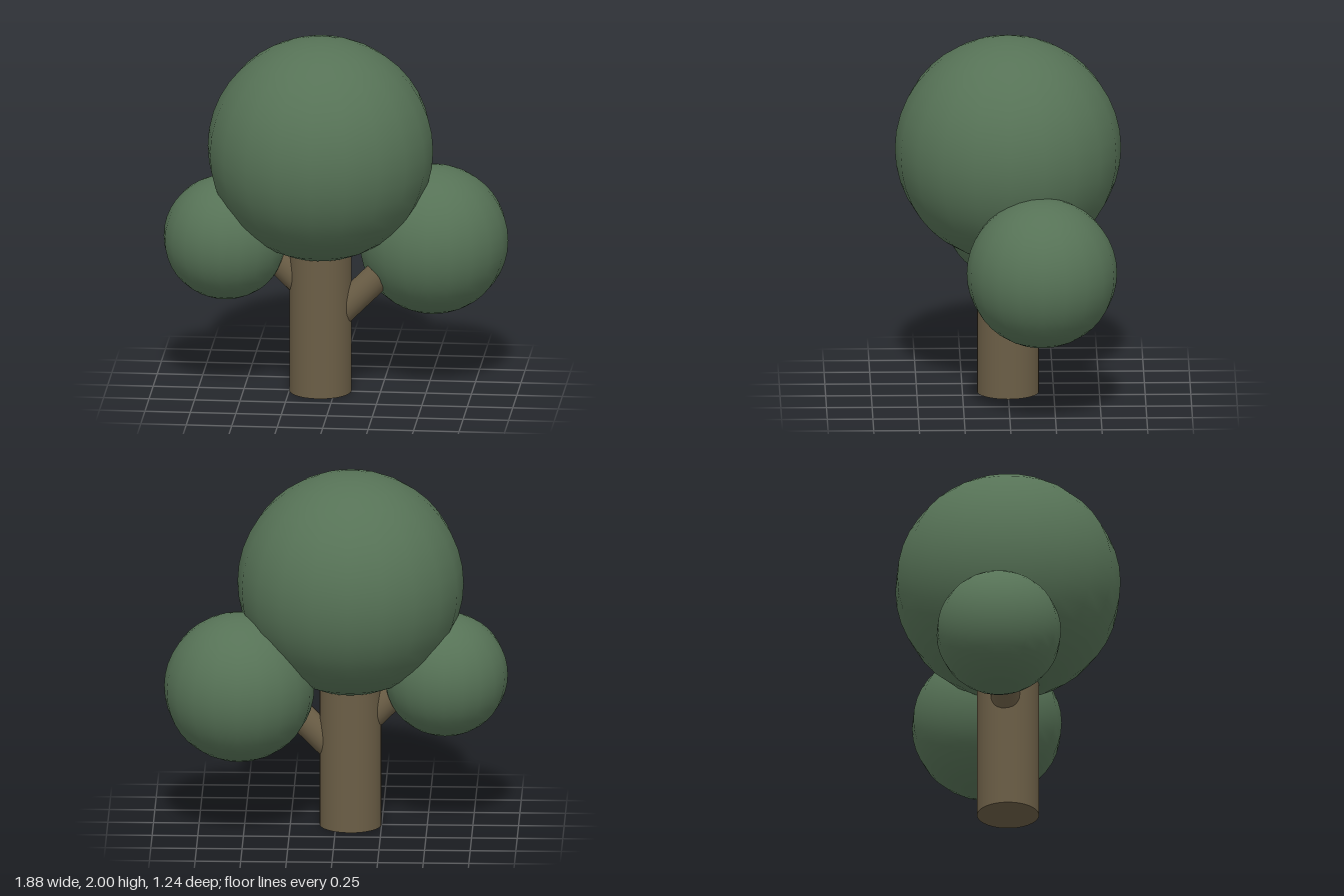
import * as THREE from 'three';

const bark = new THREE.MeshStandardMaterial({ color: 0x6b5e46 });
const leaf = new THREE.MeshStandardMaterial({ color: 0x567256 });

// Round limb between two points
function limb(name, from, to, radius, sides) {
  const a = new THREE.Vector3(...from);
  const b = new THREE.Vector3(...to);
  const dir = b.clone().sub(a);
  const mesh = new THREE.Mesh(new THREE.CylinderGeometry(radius, radius, dir.length(), sides), bark);
  mesh.name = name;
  mesh.position.copy(a).add(b).multiplyScalar(0.5);
  mesh.quaternion.setFromUnitVectors(new THREE.Vector3(0, 1, 0), dir.normalize());
  return mesh;
}

// Ball of leaves
function foliage(name, center, radius) {
  const mesh = new THREE.Mesh(new THREE.SphereGeometry(radius, 20, 20), leaf);
  mesh.name = name;
  mesh.position.set(...center);
  return mesh;
}

export function createModel() {
  const tree = new THREE.Group();
  tree.name = 'tree';
  tree.add(
    // Trunk and the two side branches, which start inside it
    limb('trunk', [-0.08, 0, 0], [-0.08, 0.95, 0], 0.17, 32),
    limb('leftBranch', [-0.03, 0.395, 0], [0.4, 0.825, 0], 0.08, 24),
    limb('rightBranch', [-0.1, 0.533, 0], [-0.48, 0.913, 0], 0.08, 24),
    // Crown and side clumps
    foliage('crown', [-0.08, 1.38, 0], 0.62),
    foliage('leftFoliage', [0.525, 0.83, -0.175], 0.412),
    foliage('rightFoliage', [-0.6, 0.862, 0], 0.342),
  );
  return tree;
}
